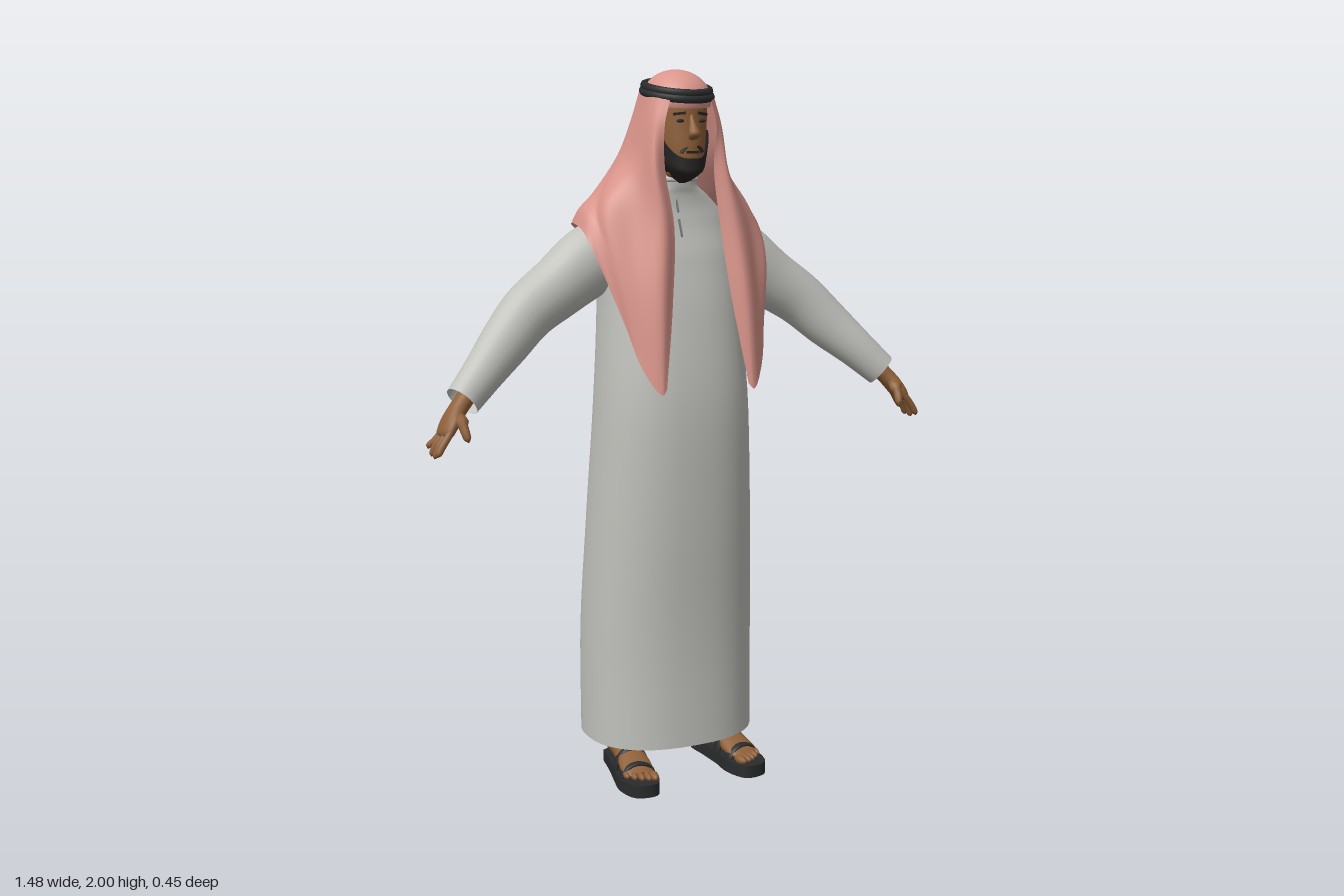
import * as THREE from 'three';
import { mergeVertices } from 'three/addons/utils/BufferGeometryUtils.js';

const V = (x, y, z) => new THREE.Vector3(x, y, z);
const mat = (name, color, side = THREE.FrontSide) => {
  const m = new THREE.MeshStandardMaterial({ color, side });
  m.name = name;
  return m;
};

// Smooth surface from a function of u, v (outside is du x dv)
function grid(nu, nv, f) {
  const pos = [], idx = [];
  for (let j = 0; j <= nv; j++)
    for (let i = 0; i <= nu; i++) pos.push(...f(i / nu, j / nv).toArray());
  for (let j = 0; j < nv; j++)
    for (let i = 0; i < nu; i++) {
      const a = j * (nu + 1) + i, c = a + nu + 1;
      idx.push(a, a + 1, c, a + 1, c + 1, c);
    }
  let g = new THREE.BufferGeometry();
  g.setAttribute('position', new THREE.Float32BufferAttribute(pos, 3));
  g.setIndex(idx);
  g = mergeVertices(g, 1e-5);
  g.computeVertexNormals();
  return g;
}

// Loft of ellipses; each section is [x, y, z, halfWidth, halfDepth]
function sweep(sections, ref, { seg = 20, rows = 24, dir = null, power = 1 } = {}) {
  const path = new THREE.CatmullRomCurve3(sections.map(s => V(s[0], s[1], s[2])));
  const size = new THREE.CatmullRomCurve3(sections.map(s => V(s[3], s[4], 0)));
  const bend = c => Math.sign(c) * Math.abs(c) ** power;
  return grid(seg, rows, (u, v) => {
    const t = dir || path.getTangent(v);
    const side = ref.clone().cross(t).normalize();
    const up = t.clone().cross(side);
    const r = size.getPoint(v), th = (u % 1) * Math.PI * 2;
    return path.getPoint(v)
      .addScaledVector(side, bend(Math.cos(th)) * Math.max(r.x, 0.0005))
      .addScaledVector(up, bend(Math.sin(th)) * Math.max(r.y, 0.0005));
  });
}

const UP = V(0, 1, 0), BACK = V(0, 0, -1);

export function createModel() {
  const root = new THREE.Group();
  const robeMat = mat('robeGrey', 0xc0c1bb, THREE.DoubleSide);
  const scarfMat = mat('scarfPink', 0xda958b, THREE.DoubleSide);
  const skin = mat('skinBrown', 0x8f6039);
  const black = mat('black', 0x2a2b2c);
  const hair = mat('beardBlack', 0x262422, THREE.DoubleSide);
  const seam = mat('seamGrey', 0x77777a);
  const add = (name, geo, m, parent = root) => {
    const mesh = new THREE.Mesh(geo, m);
    mesh.name = name;
    parent.add(mesh);
    return mesh;
  };

  // Robe with collar and placket
  add('robe', sweep([
    [0, 0.11, -0.02, 0.25, 0.2], [0, 0.4, -0.022, 0.25, 0.198], [0, 0.8, 0, 0.235, 0.19],
    [0, 1.1, 0.013, 0.22, 0.177], [0, 1.35, 0, 0.205, 0.155], [0, 1.5, -0.015, 0.2, 0.135],
    [0, 1.6, -0.02, 0.172, 0.11], [0, 1.66, 0, 0.11, 0.082], [0, 1.69, 0.02, 0.066, 0.066],
    [0, 1.72, 0.025, 0.06, 0.062],
  ], BACK, { seg: 40, rows: 50, dir: UP, power: 0.85 }), robeMat);
  const collar = add('collar', new THREE.TorusGeometry(0.064, 0.007, 8, 28), robeMat);
  collar.rotation.x = Math.PI / 2;
  collar.position.set(0, 1.705, 0.024);
  [1.64, 1.575].forEach(y => {
    const p = add('placketSeam', new THREE.BoxGeometry(0.004, 0.05, 0.006), seam);
    p.position.set(-0.015, y, y > 1.6 ? 0.083 : 0.106);
    p.rotation.x = -0.4;
  });

  // Head, from neck to crown
  add('head', sweep([
    [0, 1.62, 0.02, 0.05, 0.05], [0, 1.7, 0.03, 0.048, 0.05], [0, 1.73, 0.07, 0.046, 0.07],
    [0, 1.76, 0.066, 0.06, 0.082], [0, 1.8, 0.06, 0.07, 0.088], [0, 1.85, 0.055, 0.077, 0.09],
    [0, 1.9, 0.05, 0.08, 0.094], [0, 1.94, 0.05, 0.06, 0.07], [0, 1.96, 0.05, 0.001, 0.001],
  ], BACK, { seg: 32, rows: 40, dir: UP }), skin);
  add('nose', sweep([
    [0, 1.88, 0.138, 0.006, 0.006], [0, 1.85, 0.15, 0.01, 0.011], [0, 1.828, 0.16, 0.017, 0.015],
    [0, 1.815, 0.153, 0.014, 0.01], [0, 1.81, 0.145, 0.001, 0.001],
  ], BACK, { seg: 12, rows: 12, dir: V(0, -1, 0) }), skin);

  // Beard wraps the jaw, rising toward the ears
  add('beard', grid(32, 10, (u, v) => {
    const th = (u - 0.5) * 3.5, k = Math.sqrt(Math.min(1, 0.06 + v * 2.2));
    const top = 1.762 + 0.075 * Math.min(1, Math.abs(th) / 1.2) ** 3;
    const y = THREE.MathUtils.lerp(1.695, top, v);
    const w = THREE.MathUtils.clamp((y - 1.7) / 0.1, 0, 1);
    return V(Math.sin(th) * k * (0.057 + 0.021 * w), y, 0.066 + Math.cos(th) * k * (0.09 - 0.003 * w));
  }), hair);
  add('moustache', new THREE.TorusGeometry(0.034, 0.006, 6, 16, Math.PI * 0.8), hair);
  const moustache = root.children.at(-1);
  moustache.rotation.z = Math.PI * 0.1;
  moustache.scale.y = 0.8;
  moustache.position.set(0, 1.768, 0.141);
  add('mouth', new THREE.BoxGeometry(0.035, 0.006, 0.008), hair).position.set(0, 1.779, 0.146);
  for (const s of [1, -1]) {
    const eye = add('eye', new THREE.SphereGeometry(1, 14, 8), black);
    eye.scale.set(0.012, 0.005, 0.005);
    eye.position.set(s * 0.032, 1.862, 0.138);
    const brow = add('eyebrow', new THREE.BoxGeometry(0.034, 0.007, 0.008), hair);
    brow.position.set(s * 0.034, 1.881, 0.137);
    brow.rotation.set(0, s * 0.35, -s * 0.1);
  }

  // Headscarf: half of its columns from front edge to centre back, head to hem
  const half = [
    [[0.062, 1.915, 0.137], [0.078, 1.85, 0.138], [0.074, 1.74, 0.13], [0.07, 1.58, 0.145], [0.09, 1.38, 0.178], [0.125, 1.15, 0.214]],
    [[0.085, 1.925, 0.108], [0.101, 1.85, 0.122], [0.108, 1.74, 0.14], [0.112, 1.6, 0.162], [0.13, 1.4, 0.195], [0.14, 1.135, 0.218]],
    [[0.095, 1.93, 0.08], [0.112, 1.85, 0.08], [0.128, 1.75, 0.09], [0.17, 1.61, 0.11], [0.185, 1.42, 0.152], [0.182, 1.2, 0.185]],
    [[0.096, 1.935, 0.05], [0.115, 1.85, 0.04], [0.142, 1.75, 0.04], [0.22, 1.63, 0.06], [0.237, 1.5, 0.1], [0.213, 1.32, 0.135]],
    [[0.092, 1.94, 0.01], [0.11, 1.86, -0.01], [0.143, 1.76, -0.02], [0.205, 1.665, -0.015], [0.25, 1.615, 0.01], [0.268, 1.56, 0.035]],
    [[0.07, 1.95, -0.03], [0.09, 1.86, -0.05], [0.122, 1.77, -0.07], [0.18, 1.67, -0.1], [0.22, 1.61, -0.125], [0.235, 1.575, -0.135]],
    [[0.04, 1.955, -0.05], [0.05, 1.86, -0.08], [0.07, 1.76, -0.112], [0.1, 1.64, -0.148], [0.115, 1.55, -0.162], [0.12, 1.48, -0.167]],
    [[0, 1.96, -0.055], [0, 1.86, -0.09], [0, 1.76, -0.118], [0, 1.62, -0.152], [0, 1.5, -0.164], [0, 1.37, -0.168]],
  ];
  const column = (pts, s) => new THREE.CatmullRomCurve3(pts.map(([x, y, z]) => {
    const shift = z > 0.09 && y < 1.7 ? 0.017 : 0;
    return V(s * x + shift, y, z);
  }));
  const columns = [...half.map(c => column(c, -1)), ...half.slice(0, -1).reverse().map(c => column(c, 1))];
  const rowCache = {};
  add('headscarf', grid(84, 30, (u, v) => {
    const row = rowCache[v] ??= new THREE.CatmullRomCurve3(columns.map(c => c.getPoint(v)));
    return row.getPoint(u);
  }), scarfMat);
  const crown = add('scarfCrown', new THREE.SphereGeometry(1, 32, 14, 0, Math.PI * 2, 0, Math.PI * 0.55), scarfMat);
  crown.scale.set(0.093, 0.078, 0.102);
  crown.position.set(0, 1.921, 0.05);
  crown.rotation.x = 0.15;

  // Double cord around the head
  for (const [y, r] of [[1.936, 0.091], [1.951, 0.087]]) {
    const cord = add('headCord', new THREE.TorusGeometry(r, 0.0115, 8, 36).rotateX(Math.PI / 2), black);
    cord.scale.z = 1.08;
    cord.position.set(0, y, 0.051);
    cord.rotation.x = 0.19;
  }

  for (const s of [1, -1]) {
    const side = s > 0 ? 'left' : 'right';
    const ref = V(s * 0.7, 0.7, 0);
    const flip = list => list.map(([x, ...rest]) => [s * x, ...rest]);

    // Sleeve
    add(side + 'Sleeve', sweep(flip([
      [0.13, 1.53, -0.025, 0.08, 0.085], [0.22, 1.49, -0.022, 0.08, 0.098], [0.33, 1.415, -0.015, 0.074, 0.086],
      [0.42, 1.355, 0, 0.068, 0.078], [0.5, 1.28, 0.03, 0.06, 0.07], [0.58, 1.205, 0.07, 0.05, 0.057],
      [0.648, 1.14, 0.1, 0.043, 0.049],
    ]), ref, { seg: 24, rows: 30 }), robeMat);

    // Hand with four fingers and a thumb
    const hand = new THREE.Group();
    hand.name = side + 'Hand';
    root.add(hand);
    add('palm', sweep(flip([
      [0.625, 1.162, 0.092, 0.027, 0.025], [0.66, 1.125, 0.106, 0.029, 0.024], [0.688, 1.09, 0.118, 0.041, 0.022],
      [0.706, 1.06, 0.124, 0.04, 0.017], [0.712, 1.048, 0.126, 0.001, 0.001],
    ]), ref, { seg: 16, rows: 14 }), skin, hand);
    [[0.093, 0.078, 1.018], [0.113, 0.104, 1.002], [0.134, 0.132, 1], [0.154, 0.158, 1.008]].forEach(([z0, z1, y]) =>
      add('finger', sweep(flip([
        [0.698, 1.07, z0, 0.01, 0.01], [0.72, 1.04, (z0 + z1) / 2, 0.0105, 0.0105],
        [0.734, y + 0.008, z1, 0.009, 0.009], [0.737, y, z1, 0.001, 0.001],
      ]), ref, { seg: 8, rows: 9 }), skin, hand));
    add('thumb', sweep(flip([
      [0.668, 1.11, 0.13, 0.013, 0.013], [0.667, 1.085, 0.16, 0.013, 0.013],
      [0.662, 1.055, 0.178, 0.01, 0.01], [0.66, 1.045, 0.182, 0.001, 0.001],
    ]), ref, { seg: 8, rows: 9 }), skin, hand);

    // Foot and lower leg
    const foot = new THREE.Group();
    foot.name = side + 'Foot';
    foot.position.x = s * 0.15;
    foot.rotation.y = s * 0.12;
    root.add(foot);
    add('footBody', sweep([
      [0, 0.06, -0.08, 0.005, 0.005], [0, 0.068, -0.062, 0.032, 0.034], [0, 0.078, 0, 0.036, 0.046],
      [0, 0.068, 0.08, 0.042, 0.034], [0, 0.052, 0.15, 0.046, 0.018], [0, 0.048, 0.175, 0.03, 0.008],
    ], UP, { dir: V(0, 0, 1) }), skin, foot);
    add('lowerLeg', sweep([
      [0, 0.07, -0.03, 0.036, 0.04], [0, 0.14, -0.032, 0.036, 0.038], [0, 0.4, -0.035, 0.055, 0.055],
    ], BACK, { rows: 10, dir: UP }), skin, foot);
    for (let i = 0; i < 5; i++) {
      const toe = add('toe', new THREE.SphereGeometry(1, 10, 8), skin, foot);
      toe.scale.set(i ? 0.009 : 0.013, i ? 0.011 : 0.013, 0.026);
      toe.position.set(s * (-0.034 + i * 0.018), 0.047, 0.188 - i * i * 0.0022);
    }

    // Sandal: sole and straps
    const outline = new THREE.Shape();
    outline.splineThru([[0.035, -0.07], [0.04, 0], [0.05, 0.08], [0.056, 0.15], [0.036, 0.212], [0, 0.228],
      [-0.04, 0.215], [-0.056, 0.15], [-0.046, 0.08], [-0.04, 0], [-0.035, -0.07], [0, -0.092], [0.035, -0.07],
    ].map(([x, z]) => new THREE.Vector2(s * x, z)));
    outline.curves[0].points[0].set(s * 0.035, -0.07);
    const sole = add('sandalSole', new THREE.ExtrudeGeometry(outline, { depth: 0.036, bevelEnabled: false, curveSegments: 36 })
      .rotateX(Math.PI / 2), black, foot);
    sole.position.y = 0.037;
    for (const [z, h] of [[0.145, 0.85], [0.085, 1.4]]) {
      const strap = add('sandalStrap', new THREE.TorusGeometry(0.047, 0.006, 6, 18, Math.PI), black, foot);
      strap.scale.set(1, h * 0.95, 2.6);
      strap.position.set(0, 0.034, z);
    }
  }
  return root;
}
